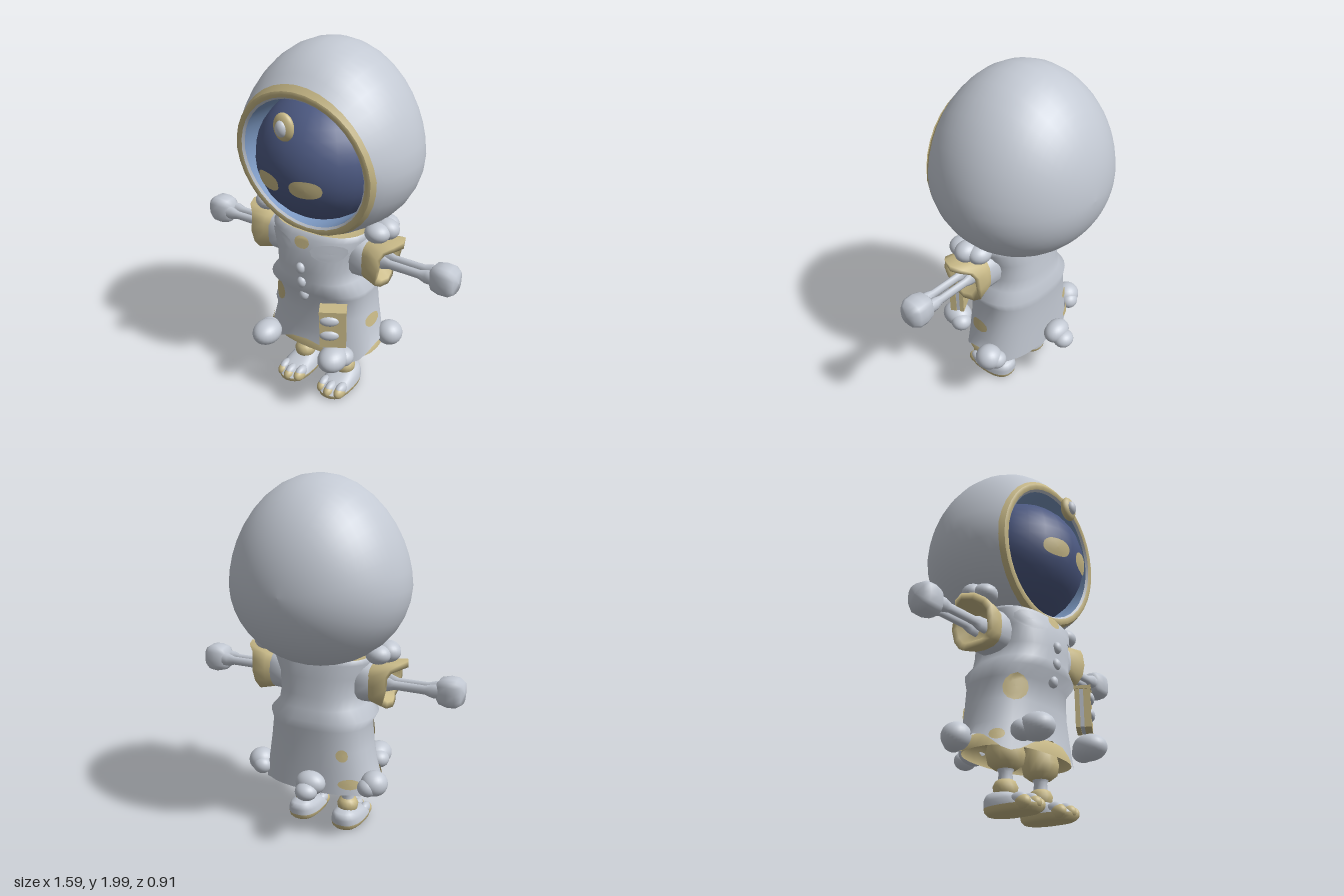
import * as THREE from 'three';

const mat = (name, color, side = THREE.FrontSide) => {
  const m = new THREE.MeshStandardMaterial({ color, side });
  m.name = name;
  return m;
};

// Smooth grid surface fn(u, v), closed around v
function grid(nu, nv, fn) {
  const pos = [], idx = [];
  for (let i = 0; i <= nu; i++) for (let j = 0; j < nv; j++) pos.push(...fn(i / nu, j / nv));
  for (let i = 0; i < nu; i++) for (let j = 0; j < nv; j++) {
    const a = i * nv + j, b = a + nv, k = (j + 1) % nv, c = i * nv + k, d = c + nv;
    idx.push(a, b, c, b, d, c);
  }
  const g = new THREE.BufferGeometry();
  g.setAttribute('position', new THREE.Float32BufferAttribute(pos, 3));
  g.setIndex(idx);
  g.computeVertexNormals();
  return g;
}

const spow = (v, p) => Math.sign(v) * Math.abs(v) ** p;

// Rounded cross-section point on a row [y, halfWidth, zFront, zBack]
function ringPoint([y, hx, zf, zb], a, p) {
  return [hx * spow(Math.cos(a), p), y, (zf + zb) / 2 + (zf - zb) / 2 * spow(Math.sin(a), p)];
}

// Loft through rows; lift(row, angle) shifts a row along the axis
function loft(rows, { n = 24, p = 1, lift = () => 0 } = {}) {
  return grid(rows.length - 1, n, (u, v) => {
    const i = Math.round(u * (rows.length - 1)), a = v * Math.PI * 2;
    const q = ringPoint(rows[i], a, p);
    q[1] += lift(i, a);
    return q;
  });
}

// Rows for parts along the arm: [x, halfHeight, halfDepth]
const armRows = (rows, z = 0.08) => rows.map(([x, h, d = h]) => [x, h, z + d, z - d]);

export function createModel() {
  const root = new THREE.Group();
  root.name = 'hoodedFigure';
  const grey = mat('paleGrey', 0xc3c9d3);
  const tan = mat('tan', 0xc8b987, THREE.DoubleSide);
  const navy = mat('navy', 0x4d5a83);
  const blue = mat('liningBlue', 0x7d9ac4, THREE.DoubleSide);

  const add = (name, geo, m, parent = root) => {
    const mesh = new THREE.Mesh(geo, m);
    mesh.name = name;
    parent.add(mesh);
    return mesh;
  };
  const ball = new THREE.SphereGeometry(1, 24, 18);
  const blob = (name, m, parent, x, y, z, rx, ry = rx, rz = rx) => {
    const b = add(name, ball, m, parent);
    b.position.set(x, y, z);
    b.scale.set(rx, ry, rz);
  };

  // Hood: egg shape cut by a sloping front plane
  const cy = 1.43, rim = 0.4;
  const planeZ = (y) => 0.24 + (y - 1.03) * 0.125;
  const squash = (s) => 1 - 0.055 * Math.max(0, s);
  const narrow = (y) => 1 - 0.13 * Math.max(0, y - cy);
  const hood = (u0, u1) => (u, v) => {
    const f = -v * Math.PI * 2, c = Math.cos(f), s = Math.sin(f);
    const R = 1 / Math.hypot(c / 0.49, s / (s > 0 ? 0.57 : 0.435));
    const edge = rim * squash(s), end = Math.PI - Math.asin(edge / R);
    const t = (u0 + (u1 - u0) * u) * end, r = R * Math.sin(t);
    const front = planeZ(cy + edge * s) / -Math.cos(end);
    const y = cy + r * s;
    return [r * c * narrow(y), y, -Math.cos(t) * (t < Math.PI / 2 ? 0.45 : front)];
  };
  const rimBand = (points) => grid(points.length - 1, 36, (u, v) => {
    const [r, dz] = points[Math.round(u * (points.length - 1))], f = -v * Math.PI * 2, s = Math.sin(f);
    const y = cy + r * squash(s) * s;
    return [r * Math.cos(f) * narrow(y), y, planeZ(y) + dz];
  });
  add('hood', grid(20, 36, hood(0, 0.97)), grey);
  add('hoodEdge', grid(1, 36, hood(0.97, 1)), tan);
  add('hoodRim', rimBand([[rim, 0], [0.385, 0.006], [0.368, 0]]), tan);
  add('hoodLip', rimBand([[0.368, 0], [0.357, -0.012]]), grey);
  add('hoodLining', rimBand([[0.357, -0.012], [0.358, -0.08], [0.362, -0.18], [0.3, -0.28], [0, -0.32]]), blue);

  // Face ball, with eyes wrapped onto its surface
  const fr = 0.352, fz = 0.078, fy = 1.425;
  blob('face', navy, root, 0, fy, fz, fr, 0.342, fr);
  for (const s of [-1, 1]) {
    add(s > 0 ? 'leftEye' : 'rightEye', grid(3, 20, (u, v) => {
      const a = -v * Math.PI * 2, r = 1 - u;
      const x = s * 0.11 + 0.079 * r * spow(Math.cos(a), 0.85), y = 1.365 + 0.048 * r * spow(Math.sin(a), 0.85);
      return [x, y, fz + 0.006 + Math.sqrt(fr * fr - x * x - (y - fy) ** 2)];
    }), tan);
  }
  blob('lampRing', tan, root, 0, 1.662, 0.412, 0.057, 0.07, 0.03);
  blob('lamp', grey, root, 0, 1.66, 0.43, 0.032, 0.042, 0.028);

  // Coat, with a wavy hem, a tan lining and a tan collar inside
  const coatRows = [
    [0.32, 0.34, 0.265, -0.165], [0.42, 0.315, 0.255, -0.165], [0.54, 0.295, 0.25, -0.165],
    [0.66, 0.28, 0.26, -0.17], [0.71, 0.302, 0.31, -0.175], [0.77, 0.25, 0.3, -0.155],
    [0.84, 0.24, 0.31, -0.145], [0.94, 0.25, 0.3, -0.135], [1.02, 0.285, 0.28, -0.13],
    [1.045, 0.268, 0.258, -0.12],
  ];
  const P = 0.8;
  const hem = (i, a) => i ? 0 : Math.sin(a) < -0.6 ? -0.02 : 0.045 * Math.cos(4 * a);
  add('coat', loft(coatRows, { n: 32, p: P, lift: hem }), grey);
  add('coatLining', loft([[0.3, 0.328, 0.253, -0.153], [0.37, 0.315, 0.245, -0.15],
    [0.39, 0.2, 0.2, -0.08], [0.4, 0, 0.08, 0.08]], { n: 32, p: P }), tan);
  add('collarInside', loft([[1.045, 0.268, 0.258, -0.12], [1.03, 0.2, 0.2, -0.08], [1.03, 0, 0.08, 0.08]], { n: 32, p: P }), tan);

  // Rounded patches lying on the coat: [angle, y, half angle, half height]
  const coatPoint = (y, a) => {
    const i = coatRows.findIndex((r) => r[0] >= y), A = coatRows[i - 1], B = coatRows[i];
    const t = (y - A[0]) / (B[0] - A[0]);
    const q = ringPoint(A.map((v, k) => v + (B[k] - v) * t), a, P);
    return [q[0] + 0.008 * Math.cos(a), y, q[2] + 0.008 * Math.sin(a)];
  };
  const patch = (name, m, deg, y, da, dy) => add(name, grid(4, 12, (u, v) => {
    const t = -v * Math.PI * 2;
    return coatPoint(y + dy * (1 - u) * Math.sin(t), (deg - da * (1 - u) * Math.cos(t)) * Math.PI / 180);
  }), m);
  patch('frontPatch', tan, 134, 0.6, 17, 0.07);
  patch('sidePatch', tan, 6, 0.505, 12, 0.038);
  patch('backPatch', tan, 233, 0.53, 8, 0.036);
  patch('hemPatch', tan, 228, 0.365, 14, 0.03);
  patch('hemPatch', tan, 152, 0.35, 10, 0.028);
  patch('throat', tan, 90, 0.997, 6, 0.032);
  for (const s of [-1, 1]) patch('collarFlap', grey, 90 + s * 33, 0.965, 25, 0.05);

  // Buttons
  for (const [y, z] of [[0.85, 0.308], [0.76, 0.3], [0.67, 0.28]]) blob('button', grey, root, 0, y, z, 0.027, 0.032, 0.024);

  // Layered pouch with straps, turned outwards
  const pouch = new THREE.Group();
  pouch.name = 'pouch';
  pouch.position.set(0.212, 0.568, 0.318);
  pouch.rotation.y = Math.PI / 6;
  root.add(pouch);
  const box = (name, m, y, z, w, h, d) => add(name, new THREE.BoxGeometry(w, h, d), m, pouch).position.set(0, y, z);
  box('pouchFront', tan, 0, 0.022, 0.14, 0.22, 0.036);
  box('pouchBand', grey, -0.004, -0.006, 0.132, 0.206, 0.022);
  box('pouchBack', tan, 0, -0.028, 0.14, 0.22, 0.024);
  box('pouchFlap', tan, 0.104, 0, 0.144, 0.018, 0.086);
  for (const y of [0.055, -0.035]) blob('pouchStrap', grey, pouch, -0.018, y, 0.036, 0.052, 0.03, 0.022);

  // Puff pair at the back of the hem
  blob('backPuff', grey, root, -0.05, 0.375, -0.21, 0.085, 0.065, 0.065);
  blob('backPuff', grey, root, -0.05, 0.345, -0.262, 0.062, 0.05, 0.058);

  // Mirrored limbs and trimmings
  for (const s of [1, -1]) {
    const side = new THREE.Group();
    side.name = s > 0 ? 'leftSide' : 'rightSide';
    side.scale.x = s;
    root.add(side);

    // Shoulder and hem puffs: [x, y, z, rx, ry, rz]
    for (const q of [[0.35, 1.08, 0.12, 0.068, 0.052, 0.065], [0.37, 1.085, 0.065, 0.072, 0.056, 0.06],
      [0.34, 1.08, 0.005, 0.068, 0.052, 0.06]]) blob('shoulderPuff', grey, side, ...q);
    for (const q of [[0.222, 0.37, 0.338, 0.078, 0.068, 0.092], [0.25, 0.36, 0.28, 0.06, 0.052, 0.06],
      [0.355, 0.365, -0.045, 0.075, 0.07, 0.075], [0.33, 0.35, -0.085, 0.055, 0.05, 0.05]]) blob('hemPuff', grey, side, ...q);

    // Arm parts, lofted along x
    const arm = new THREE.Group();
    arm.name = 'arm';
    arm.position.y = 0.91;
    arm.rotation.z = -Math.PI / 2;
    side.add(arm);
    add('sleeve', loft(armRows([[0.16, 0.085], [0.22, 0.115], [0.3, 0.113], [0.34, 0.09]]), { n: 16, p: 0.8 }), grey, arm);
    const flare = (i, a) => i === 2 || i === 3 ? 0.08 * Math.max(0, -Math.cos(a)) ** 2 + 0.012 * Math.cos(4 * a) : 0;
    add('cuff', loft(armRows([[0.285, 0.108], [0.33, 0.12], [0.39, 0.134], [0.39, 0.1], [0.34, 0.085], [0.33, 0]]),
      { n: 16, p: 0.75, lift: flare }), tan, arm);
    for (const z of [0.048, 0.108]) {
      add('armRod', loft(armRows([[0.3, 0.045, 0.022], [0.38, 0.04, 0.022], [0.42, 0.025, 0.018], [0.59, 0.025, 0.018],
        [0.63, 0.038, 0.028], [0.67, 0.038, 0.028]], z), { n: 10 }), grey, arm);
    }
    add('hand', loft(armRows([[0.645, 0], [0.647, 0.045, 0.04], [0.665, 0.07, 0.06], [0.71, 0.081, 0.071],
      [0.755, 0.078, 0.07], [0.785, 0.058, 0.052], [0.793, 0]]), { n: 16, p: 0.7 }), grey, arm);

    // Leg and foot
    const leg = new THREE.Group();
    leg.name = 'leg';
    leg.position.x = 0.14;
    side.add(leg);
    const round = (rows) => loft(rows.map(([y, r]) => [y, r, 0.085 + r, 0.085 - r]), { n: 16 });
    add('thigh', round([[0.222, 0], [0.225, 0.055], [0.25, 0.088], [0.3, 0.098], [0.36, 0.085], [0.4, 0.07]]), tan, leg);
    add('shin', round([[0.1, 0.04], [0.17, 0.036], [0.21, 0.034], [0.23, 0.045]]), grey, leg);
    add('ankle', round([[0.095, 0.045], [0.11, 0.057], [0.14, 0.062], [0.165, 0.05], [0.178, 0.03]]), tan, leg);
    add('sole', loft([[0.006, 0, 0.13, 0.13], [0.006, 0.075, 0.265, -0.005], [0.02, 0.09, 0.285, -0.018],
      [0.04, 0.093, 0.286, -0.022]], { p: 0.8 }), tan, leg);
    add('footTop', loft([[0.04, 0.093, 0.284, -0.022], [0.07, 0.088, 0.25, -0.024], [0.088, 0.076, 0.2, -0.022],
      [0.105, 0.062, 0.14, -0.01], [0.118, 0.04, 0.12, 0.03], [0.12, 0, 0.08, 0.08]], { p: 0.8 }), grey, leg);
    for (const x of [-0.056, 0, 0.056]) {
      const z = 0.245 - Math.abs(x) * 0.35;
      blob('toeTip', tan, leg, x, 0.045, z + 0.002, 0.031, 0.036, 0.046);
      blob('toe', grey, leg, x, 0.058, z - 0.016, 0.029, 0.034, 0.05);
    }
  }
  return root;
}
